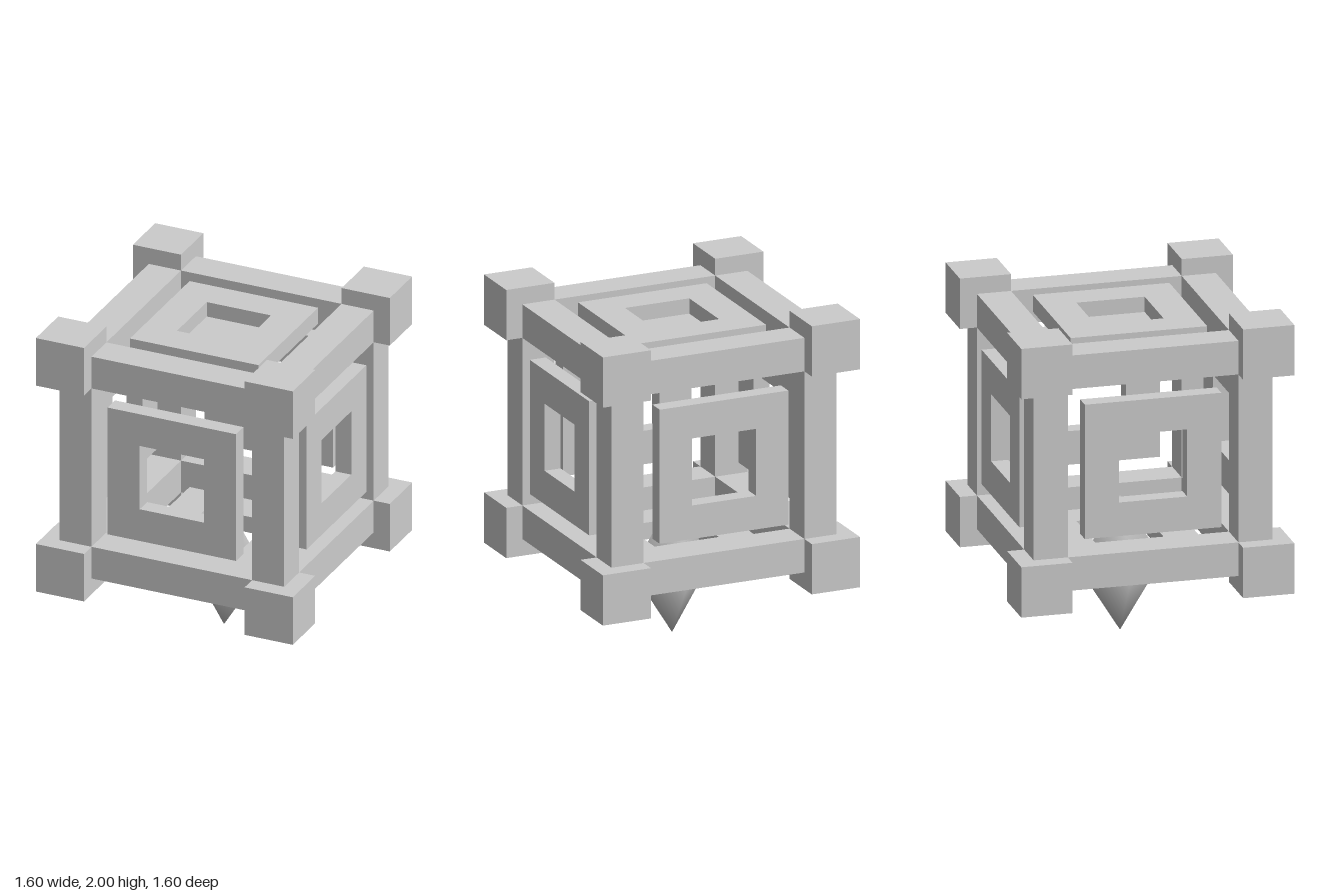
import * as THREE from 'three';
import { mergeVertices } from 'three/addons/utils/BufferGeometryUtils.js';

export function createModel() {
  const model = new THREE.Group();
  model.name = 'cageWithCrystal';
  const grey = new THREE.MeshStandardMaterial({ color: 0xcccccc });
  grey.name = 'stone grey';

  const add = (parent, name, geometry, x = 0, y = 0, z = 0) => {
    const mesh = new THREE.Mesh(geometry, grey);
    mesh.name = name;
    mesh.position.set(x, y, z);
    parent.add(mesh);
    return mesh;
  };

  // The cage is built around its own centre
  const cage = new THREE.Group();
  cage.name = 'cage';
  cage.position.y = 1.2;
  model.add(cage);

  // Corner blocks and the bars between them
  const corner = new THREE.BoxGeometry(0.3, 0.3, 0.3);
  const barX = new THREE.BoxGeometry(1, 0.2, 0.2);
  const barY = new THREE.BoxGeometry(0.2, 1, 0.2);
  const barZ = new THREE.BoxGeometry(0.2, 0.2, 1);
  for (const a of [-1, 1]) {
    for (const b of [-1, 1]) {
      for (const c of [-1, 1]) add(cage, 'cornerBlock', corner, a * 0.65, b * 0.65, c * 0.65);
      add(cage, 'crossBar', barX, 0, a * 0.6, b * 0.6);
      add(cage, 'post', barY, a * 0.6, 0, b * 0.6);
      add(cage, 'sideBar', barZ, a * 0.6, b * 0.6, 0);
    }
  }

  // Square frame panel on each of the six sides
  const square = (path, h) =>
    path.moveTo(-h, -h).lineTo(h, -h).lineTo(h, h).lineTo(-h, h).closePath();
  const outline = square(new THREE.Shape(), 0.4);
  outline.holes.push(square(new THREE.Path(), 0.2));
  const frame = new THREE.ExtrudeGeometry(outline, { depth: 0.1, bevelEnabled: false });
  frame.translate(0, 0, 0.6);
  const q = Math.PI / 2;
  const sides = [
    ['frontPanel', 0, 0], ['backPanel', 0, 2 * q], ['leftPanel', 0, q],
    ['rightPanel', 0, -q], ['topPanel', -q, 0], ['bottomPanel', q, 0],
  ];
  for (const [name, rx, ry] of sides) add(cage, name, frame).rotation.set(rx, ry, 0);

  // Plate closing the top opening
  add(cage, 'topPlate', new THREE.BoxGeometry(0.4, 0.009, 0.4), 0, 0.6045, 0);

  // Four-sided crystal with smooth normals, hanging through the bottom panel
  let gem = new THREE.OctahedronGeometry(1, 0);
  gem.deleteAttribute('uv');
  gem.deleteAttribute('normal');
  gem = mergeVertices(gem);
  gem.scale(0.25, 0.4, 0.25);
  gem.computeVertexNormals();
  add(model, 'crystal', gem, 0, 0.4, 0);

  return model;
}
